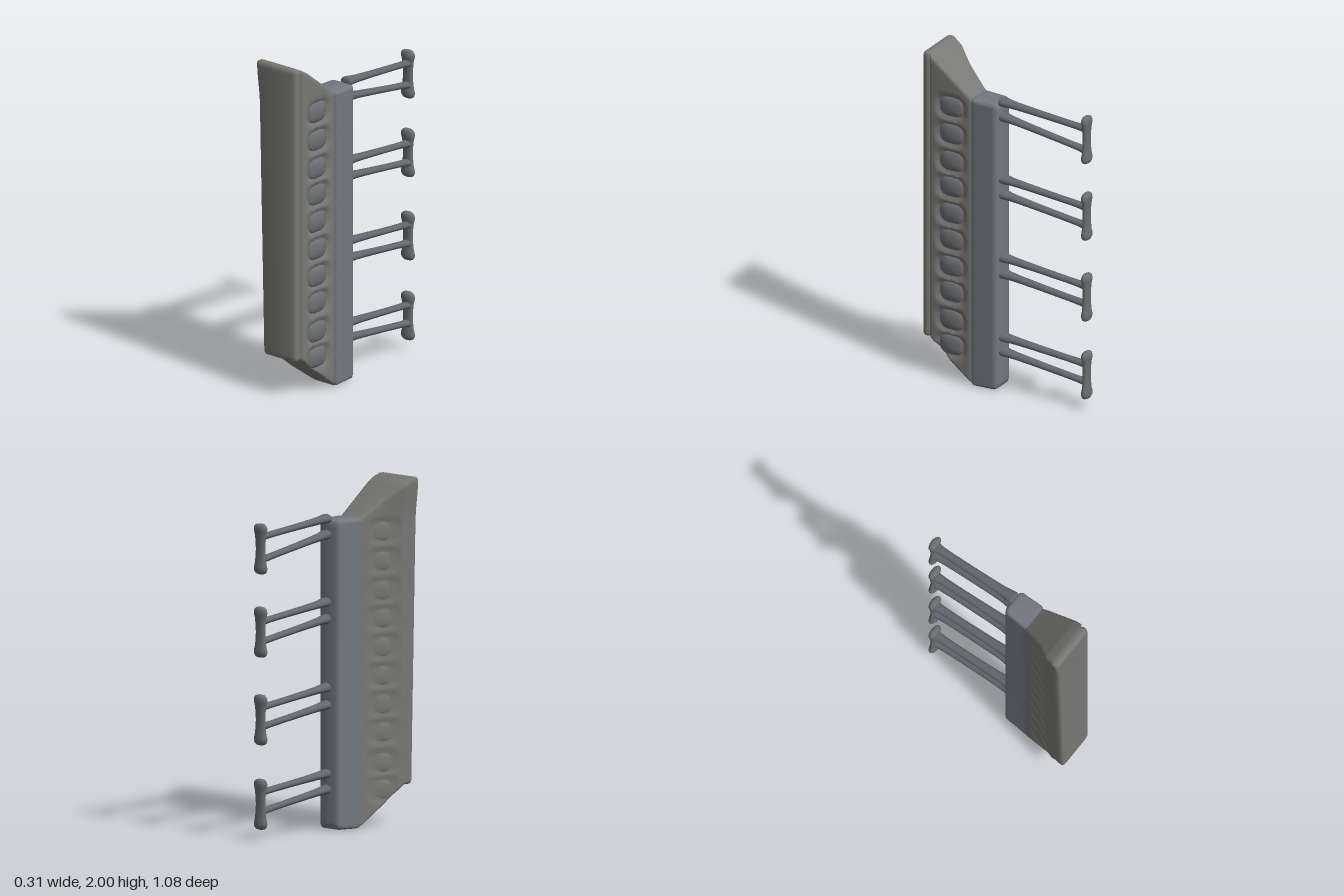
import * as THREE from 'three';
import { toCreasedNormals } from 'three/addons/utils/BufferGeometryUtils.js';

const webMaterial = new THREE.MeshStandardMaterial({ color: 0x787876 });
const spineMaterial = new THREE.MeshStandardMaterial({ color: 0x727980 });
const padMaterial = new THREE.MeshStandardMaterial({ color: 0x6c7074 });
const armMaterial = new THREE.MeshStandardMaterial({ color: 0x626870 });
const footMaterial = new THREE.MeshStandardMaterial({ color: 0x6a6c6e });

const PAD_Y = [1.7, 1.53, 1.36, 1.2, 1.035, 0.87, 0.705, 0.545, 0.37, 0.215];
const PAD_Z = 0.345;

// sections along z: z, left x, right x, bottom, top
const SPINE = [
  [0.035, 0.02, 0.125, 0.03, 1.76],
  [0.045, 0, 0.143, 0.012, 1.78],
  [0.06, -0.01, 0.15, 0.005, 1.785],
  [0.19, -0.02, 0.152, 0, 1.785],
  [0.2, -0.022, 0.148, 0.002, 1.785],
  [0.207, -0.025, 0.14, 0.006, 1.785],
];
const WEB = [
  [0.207, -0.025, 0.14, 0.006, 1.785],
  [0.225, -0.032, 0.145, 0.018, 1.797],
  [0.35, -0.078, 0.145, 0.115, 1.895],
  [0.44, -0.13, 0.145, 0.195, 1.965],
  [0.48, -0.138, 0.142, 0.225, 1.988],
  [0.492, -0.142, 0.126, 0.23, 1.995],
  [0.505, -0.145, 0.134, 0.23, 2],
  [0.525, -0.145, 0.132, 0.23, 2],
  [0.535, -0.14, 0.126, 0.235, 1.995],
  [0.54, -0.125, 0.112, 0.25, 1.98],
];

function mesh(name, geometry, material) {
  const m = new THREE.Mesh(geometry, material);
  m.name = name;
  return m;
}

const squarish = (a, b) => Math.cbrt(Math.abs(a) ** 3 + Math.abs(b) ** 3);

// depth of the oval basins at a point on the side of the web
function basin(y, z) {
  let depth = 0;
  for (const c of PAD_Y) {
    const d = squarish((y - c) / 0.08, (z - PAD_Z) / 0.105);
    depth = Math.max(depth, 1 - THREE.MathUtils.smoothstep(d, 0.65, 1.1));
  }
  return depth;
}

// the left side leans outwards with height and flares at the top
function leftX(x, y) {
  if (x >= 0) return x;
  const t = THREE.MathUtils.clamp((y - 0.23) / 1.77, 0, 1);
  return x * (0.72 + 0.28 * t + 0.12 * THREE.MathUtils.smoothstep(t, 0.85, 1));
}

function loft(sections) {
  // extra sections in between, so the basins have enough detail
  const rows = [];
  sections.forEach((s, i) => {
    const next = sections[i + 1];
    const steps = next ? Math.max(1, Math.round((next[0] - s[0]) / 0.01)) : 1;
    for (let k = 0; k < steps; k++) {
      rows.push(next ? s.map((v, j) => THREE.MathUtils.lerp(v, next[j], k / steps)) : s);
    }
  });

  const pos = [], index = [], r = 0.02, arc = 4, sides = 170;
  for (const [z, xl, xr, y0, y1] of rows) {
    // half outline as [inset, y], from the bottom edge to the top edge
    const half = [];
    for (let k = 0; k <= arc; k++) {
      const a = (k / arc) * Math.PI / 2;
      half.push([r * (1 - Math.sin(a)), y0 + r * (1 - Math.cos(a))]);
    }
    for (let k = 1; k < sides; k++) half.push([0, THREE.MathUtils.lerp(y0 + r, y1 - r, k / sides)]);
    for (let k = arc; k >= 0; k--) {
      const a = (k / arc) * Math.PI / 2;
      half.push([r * (1 - Math.sin(a)), y1 - r * (1 - Math.cos(a))]);
    }
    for (const [inset, y] of half) pos.push(xr - inset - 0.017 * basin(y, z), y, z);
    for (const [inset, y] of half.reverse()) pos.push(leftX(xl, y) + inset + 0.006 * basin(y, z), y, z);
  }

  const M = pos.length / 3 / rows.length;
  for (let s = 0; s < rows.length - 1; s++) {
    for (let i = 0; i < M; i++) {
      const a = s * M + i, b = s * M + (i + 1) % M;
      index.push(a, b, b + M, a, b + M, a + M);
    }
  }
  // end caps join the right half to the left half
  const last = (rows.length - 1) * M;
  for (let i = 0; i < M / 2 - 1; i++) {
    const a = i, b = i + 1, c = M - 2 - i, d = M - 1 - i;
    index.push(last + a, last + b, last + c, last + a, last + c, last + d);
    index.push(a, c, b, a, d, c);
  }
  const g = new THREE.BufferGeometry();
  g.setAttribute('position', new THREE.Float32BufferAttribute(pos, 3));
  g.setIndex(index);
  return toCreasedNormals(g, 0.95);
}

// sphere widened towards a rounded rectangle when seen along x
function padShape() {
  const g = new THREE.SphereGeometry(1, 28, 16).rotateZ(-Math.PI / 2);
  const p = g.attributes.position;
  for (let i = 0; i < p.count; i++) {
    const y = p.getY(i), z = p.getZ(i);
    const k = Math.hypot(y, z) / Math.max(squarish(y, z), 1e-6);
    p.setXYZ(i, p.getX(i), y * k, z * k);
  }
  g.computeVertexNormals();
  return g;
}

const lathe = (points, n) => new THREE.LatheGeometry(
  new THREE.SplineCurve(points.map(([x, y]) => new THREE.Vector2(x, y))).getPoints(32)
    .map((p) => new THREE.Vector2(Math.max(p.x, 0), p.y)), n);

export function createModel() {
  const group = new THREE.Group();
  group.add(mesh('spine', loft(SPINE), spineMaterial), mesh('webAndFlange', loft(WEB), webMaterial));

  // oval pads sitting in the basins on both sides of the web
  const padGeometry = padShape();
  for (const y of PAD_Y) {
    const left = mesh('leftPad', padGeometry, padMaterial);
    left.position.set(0.124, y, PAD_Z);
    left.scale.set(0.024, 0.062, 0.08);
    const right = mesh('rightPad', padGeometry, webMaterial);
    right.position.set(leftX(-0.076, y) + 0.012, y, PAD_Z);
    right.scale.set(0.013, 0.06, 0.078);
    right.rotation.y = -0.38;
    group.add(left, right);
  }

  // brackets: two arms and an upright foot
  const footGeometry = lathe([[0, -0.147], [0.034, -0.14], [0.048, -0.115], [0.039, -0.07], [0.034, 0],
    [0.039, 0.07], [0.048, 0.115], [0.034, 0.14], [0, 0.147]], 16);
  const armGeometry = lathe([[0, 0], [0.034, 0.01], [0.038, 0.05], [0.03, 0.18], [0.026, 0.5],
    [0.025, 0.8], [0.027, 0.94], [0.033, 1]], 12);
  const up = new THREE.Vector3(0, 1, 0);
  const brackets = [
    [1.675, 1.79, 1.742, 1.7, 1.61],
    [1.197, 1.31, 1.255, 1.215, 1.14],
    [0.693, 0.82, 0.762, 0.72, 0.65],
    [0.208, 0.325, 0.275, 0.235, 0.165],
  ];
  for (const [footY, a0, a1, b0, b1] of brackets) {
    const bracket = new THREE.Group();
    bracket.name = 'bracket';
    const foot = mesh('foot', footGeometry, footMaterial);
    foot.position.set(0.074, footY, -0.516);
    foot.scale.z = 0.52;
    bracket.add(foot);
    for (const [y0, y1] of [[a0, a1], [b0, b1]]) {
      const start = new THREE.Vector3(0.087, y0, 0.05);
      const span = new THREE.Vector3(0.077, y1, -0.51).sub(start);
      const arm = mesh('arm', armGeometry, armMaterial);
      arm.position.copy(start);
      arm.scale.set(1, span.length(), 0.72);
      arm.quaternion.setFromUnitVectors(up, span.clone().normalize());
      bracket.add(arm);
    }
    group.add(bracket);
  }
  return group;
}
